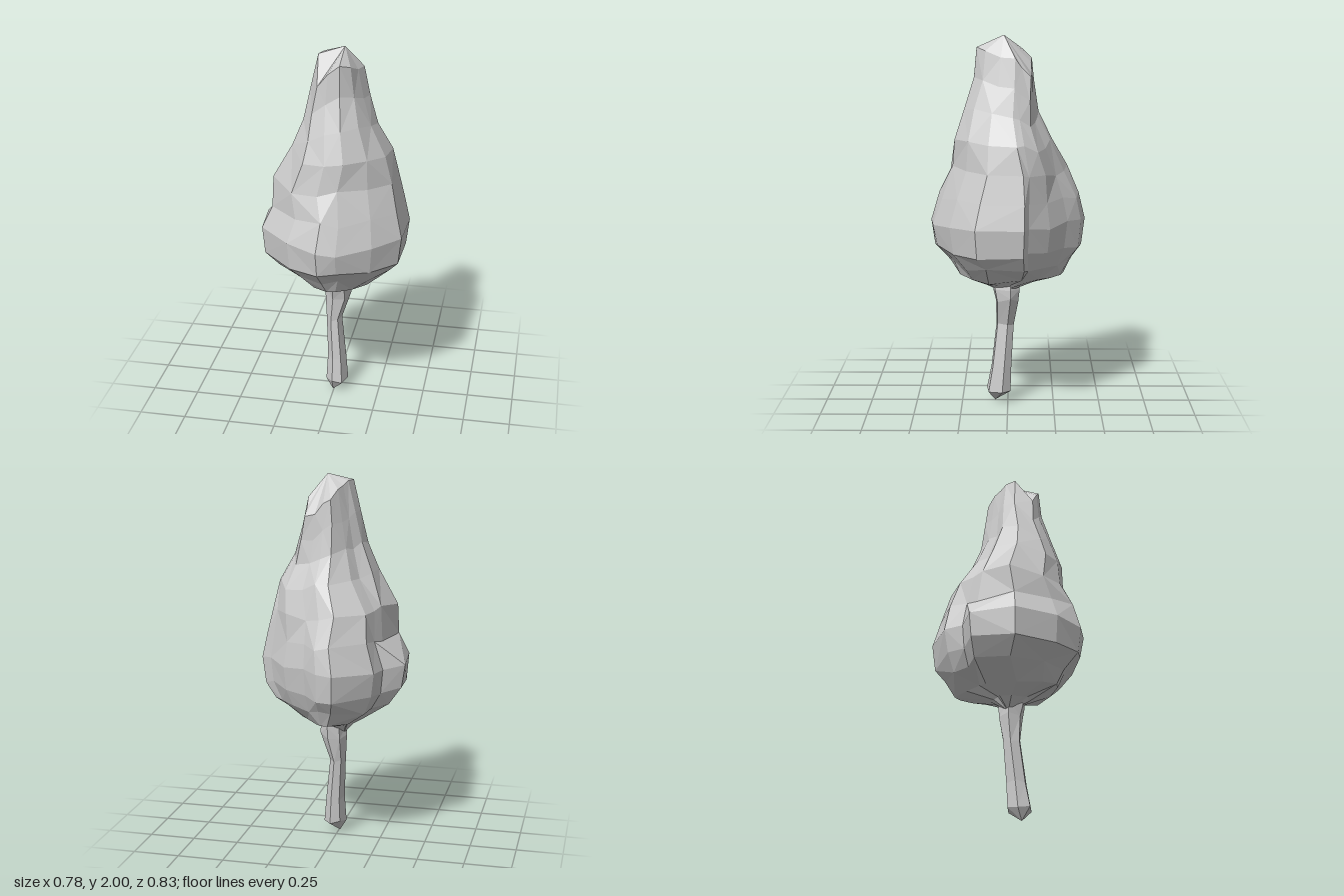
import * as THREE from 'three';

// Small seeded generator, returns -1..1
function seeded(seed) {
  return () => {
    seed = (seed * 16807) % 2147483647;
    return (seed / 2147483647) * 2 - 1;
  };
}

// Faceted skin through rings of points, closed by a point at each end
function loft(rings, bottom, top) {
  const pos = [];
  const tri = (a, b, c) => pos.push(...a, ...b, ...c);
  const n = rings[0].length;
  const last = rings[rings.length - 1];
  for (let j = 0; j < n; j++) {
    const k = (j + 1) % n;
    tri(bottom, rings[0][j], rings[0][k]);
    tri(top, last[k], last[j]);
    for (let i = 0; i < rings.length - 1; i++) {
      const a = rings[i][j], b = rings[i][k];
      const c = rings[i + 1][j], d = rings[i + 1][k];
      // Alternate the diagonals for irregular facets
      if ((i + j) % 2) { tri(a, c, b); tri(b, c, d); }
      else { tri(a, c, d); tri(a, d, b); }
    }
  }
  const geometry = new THREE.BufferGeometry();
  geometry.setAttribute('position', new THREE.Float32BufferAttribute(pos, 3));
  geometry.computeVertexNormals();
  return geometry;
}

// Fit an outline (x, z in -1..1, optional rise) into the extents of one level
function fitRing(outline, [y, x0, x1, z0, z1], wobble, random) {
  return outline.map(([u, v, rise = 0]) => {
    const shrink = 1 - Math.abs(random()) * wobble;
    return [
      (x0 + x1) / 2 + (u * shrink * (x1 - x0)) / 2,
      y + rise + random() * wobble * 0.6,
      (z0 + z1) / 2 + (v * shrink * (z1 - z0)) / 2,
    ];
  });
}

export function createModel() {
  const group = new THREE.Group();
  const material = new THREE.MeshStandardMaterial({ color: 0xcccccc, flatShading: true });
  const random = seeded(4711);
  const { lerp, clamp } = THREE.MathUtils;

  // Crown: lumpy teardrop, from a wide grooved outline to a small ridged one
  const wideOutline = [
    [-0.18, -1], [0.05, -0.95], [0.26, -0.76], [0.6, -0.53], [0.87, -0.27], [1, -0.21], [0.98, 0.4],
    [0.62, 0.72], [0.18, 0.96], [-0.08, 1], [-0.51, 0.82], [-0.96, 0.4], [-1, -0.19],
    [-0.74, -0.38], [-0.67, -0.65],
  ];
  // Third number: how far the corner rises or sinks at the top
  const ridgeOutline = [
    [-0.27, -1, -0.02], [0.1, -0.97, -0.04], [0.5, -1, -0.1], [1, -0.95, -0.13], [1, -0.65, -0.07],
    [1, -0.4, -0.03], [0.82, 0.1, -0.01], [0.6, 0.65, 0], [0.15, 0.97, 0.02], [-0.4, 1, -0.02],
    [-0.9, 0.97, -0.08], [-1, 0.3, 0.05], [-0.85, -0.1, 0.04], [-0.7, -0.35, 0.03],
    [-0.52, -0.65, 0.01],
  ];
  // Levels as y, xMin, xMax, zMin, zMax
  const crownLevels = [
    [0.66, -0.1, 0.1, -0.1, 0.11],
    [0.71, -0.17, 0.19, -0.3, 0.27],
    [0.79, -0.31, 0.32, -0.35, 0.31],
    [0.88, -0.375, 0.375, -0.4, 0.4],
    [1.01, -0.395, 0.39, -0.42, 0.42],
    [1.15, -0.335, 0.36, -0.39, 0.37],
    [1.3, -0.325, 0.33, -0.32, 0.31],
    [1.46, -0.215, 0.3, -0.24, 0.29],
    [1.61, -0.155, 0.22, -0.165, 0.24],
    [1.76, -0.12, 0.175, -0.14, 0.185],
    [1.91, -0.08, 0.14, -0.13, 0.17],
  ];
  const grooveCorner = 12;
  const crownRings = crownLevels.map((level) => {
    const y = level[0];
    const t = clamp((y - 1.15) / 0.75, 0, 1);
    const outline = wideOutline.map(([u, v], i) => {
      const [ru, rv, rise] = ridgeOutline[i];
      // Notch in the side above the widest level
      const notch = i === grooveCorner && y > 1.1 && y < 1.4 ? 0.82 : 1;
      return [lerp(u, ru, t) * notch, lerp(v, rv, t), rise * t];
    });
    return fitRing(outline, level, 0.025, random);
  });
  const crown = new THREE.Mesh(loft(crownRings, [-0.04, 0.59, 0.01], [0.05, 2, 0.02]), material);
  crown.name = 'crown';
  group.add(crown);

  // Trunk: thin bent stem, flaring into the crown and ending in a blunt point
  const trunkOutline = [[0.3, -1], [1, -0.3], [0.6, 0.85], [-0.3, 1], [-1, 0.2], [-0.6, -0.8]];
  const trunkLevels = [
    [0.07, -0.045, 0.075, -0.015, 0.115],
    [0.21, -0.038, 0.06, -0.02, 0.09],
    [0.43, -0.048, 0.035, -0.032, 0.063],
    [0.58, -0.057, 0.085, -0.058, 0.065],
    [0.64, -0.055, 0.085, -0.065, 0.08],
    [0.72, -0.06, 0.07, -0.06, 0.07],
  ];
  const trunkRings = trunkLevels.map((level) => fitRing(trunkOutline, level, 0.02, random));
  const trunk = new THREE.Mesh(loft(trunkRings, [-0.005, 0, 0.07], [0, 0.78, 0]), material);
  trunk.name = 'trunk';
  group.add(trunk);

  return group;
}
